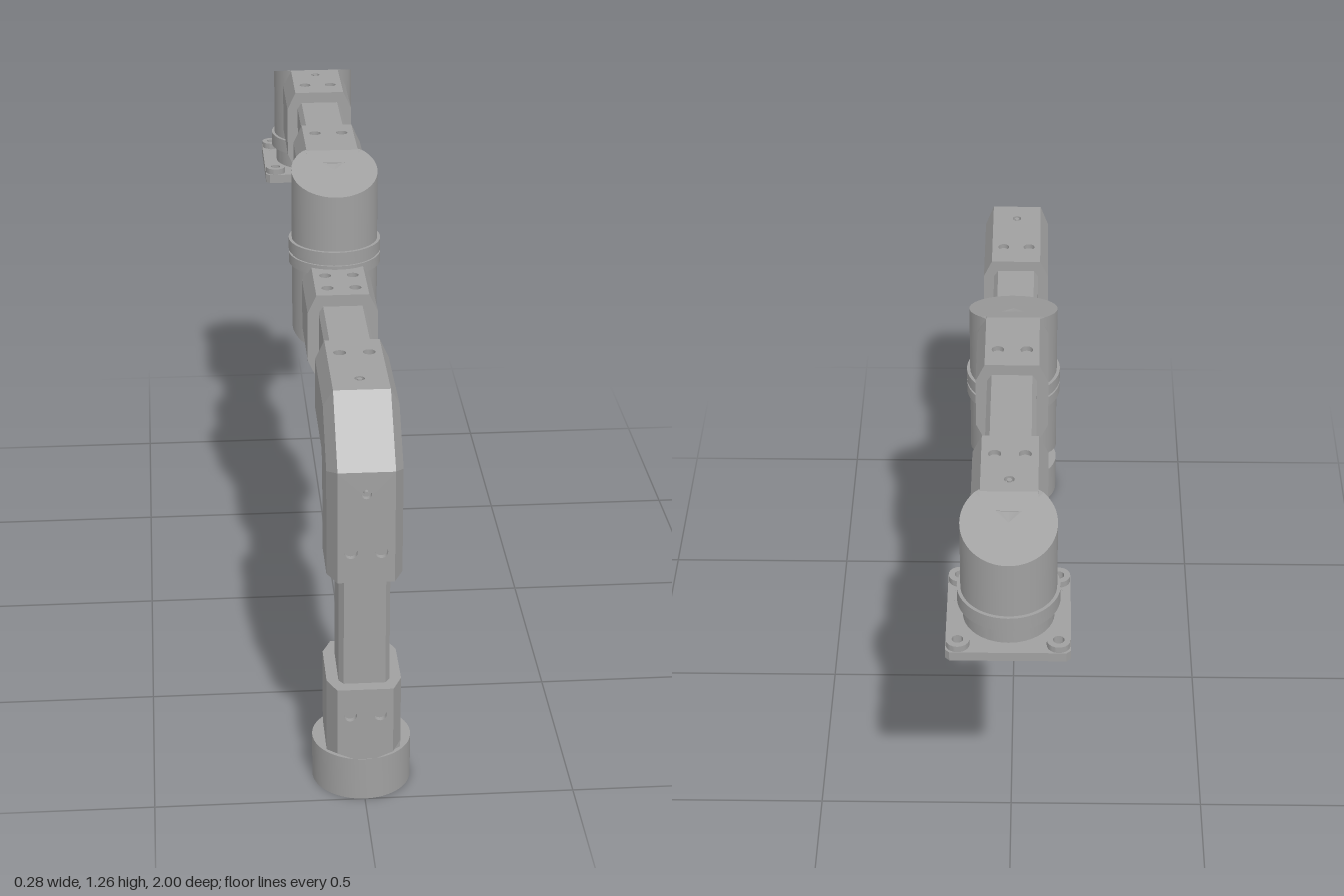
import * as THREE from 'three';
import { toCreasedNormals } from 'three/addons/utils/BufferGeometryUtils.js';

const grey = new THREE.MeshStandardMaterial({ color: 0xa0a0a0, side: THREE.DoubleSide });
grey.name = 'castGrey';

function add(parent, name, geometry, y = 0, z = 0, x = 0) {
  const mesh = new THREE.Mesh(geometry, grey);
  mesh.name = name;
  mesh.position.set(x, y, z);
  parent.add(mesh);
  return mesh;
}

// Chamfered cross-section spanning an outer and an inner point, each [z, y].
function ring(outer, inner, half = 0.088, flat = 0.066, t = 0.21) {
  const at = (x, k) => new THREE.Vector3(x,
    THREE.MathUtils.lerp(outer[1], inner[1], k), THREE.MathUtils.lerp(outer[0], inner[0], k));
  return [at(-flat, 0), at(flat, 0), at(half, t), at(half, 1 - t),
    at(flat, 1), at(-flat, 1), at(-half, 1 - t), at(-half, t)];
}

const pair = (d) => [[-0.035, d, 0.015], [0.035, d, 0.015]];
const centreScrew = (d) => [[0, d, 0.012]];

// Flat face with round screw pockets; a and b are its end edges.
function panel(group, a, b, inside, holes) {
  const start = a[0].clone().add(a[1]).multiplyScalar(0.5);
  const end = b[0].clone().add(b[1]).multiplyScalar(0.5);
  const along = end.clone().sub(start);
  const length = along.length();
  along.normalize();
  const across = new THREE.Vector3(1, 0, 0);
  const normal = across.clone().cross(along);
  if (normal.dot(inside.clone().sub(start)) > 0) {
    across.negate();
    normal.negate();
  }
  const frame = new THREE.Group();
  frame.name = 'screwPanel';
  frame.applyMatrix4(new THREE.Matrix4().makeBasis(across, along, normal).setPosition(start));
  group.add(frame);
  const wa = Math.abs(a[0].x), wb = Math.abs(b[0].x);
  const shape = new THREE.Shape([[-wa, 0], [wa, 0], [wb, length], [-wb, length]]
    .map((p) => new THREE.Vector2(...p)));
  for (const [x, d, r] of holes) {
    shape.holes.push(new THREE.Path().absarc(x, d, r, 0, Math.PI * 2, true));
    const wall = new THREE.CylinderGeometry(r, r, 0.014, 24, 1, true).rotateX(Math.PI / 2);
    wall.scale(-1, 1, 1);
    const n = wall.attributes.normal;
    for (let i = 0; i < n.count; i++) n.setXYZ(i, -n.getX(i), -n.getY(i), 0);
    add(frame, 'pocketWall', wall, d, -0.007, x);
    add(frame, 'screwHead', new THREE.CircleGeometry(r, 24), d, -0.013, x);
    if (r < 0.014) {
      add(frame, 'screwPin', new THREE.CylinderGeometry(0.006, 0.006, 0.012, 16).rotateX(Math.PI / 2), d, -0.007, x);
    }
  }
  add(frame, 'screwFace', new THREE.ShapeGeometry(shape, 12));
}

// Faceted body through a run of rings; holes are keyed by 'segment outer' or 'segment inner'.
function loft(parent, name, rings, holes = {}) {
  const group = new THREE.Group();
  group.name = name;
  parent.add(group);
  const pos = [];
  const middle = (r) => r.reduce((s, p) => s.add(p), new THREE.Vector3()).multiplyScalar(1 / r.length);
  const inside = new THREE.Vector3();
  const tri = (a, b, c) => {
    const n = b.clone().sub(a).cross(c.clone().sub(a));
    const pts = n.dot(a.clone().sub(inside)) < 0 ? [a, c, b] : [a, b, c];
    pts.forEach((p) => pos.push(p.x, p.y, p.z));
  };
  for (let s = 0; s + 1 < rings.length; s++) {
    const a = rings[s], b = rings[s + 1];
    inside.copy(middle(a)).add(middle(b)).multiplyScalar(0.5);
    for (let i = 0; i < 8; i++) {
      const j = (i + 1) % 8;
      const list = holes[s + (i === 0 ? ' outer' : i === 4 ? ' inner' : '')];
      if (list) panel(group, [a[i], a[j]], [b[i], b[j]], inside, list);
      else {
        tri(a[i], a[j], b[j]);
        tri(a[i], b[j], b[i]);
      }
    }
    for (const cap of [s === 0 && a, s === rings.length - 2 && b]) {
      if (cap) for (let i = 1; i < 7; i++) tri(cap[0], cap[i], cap[i + 1]);
    }
  }
  const geometry = new THREE.BufferGeometry();
  geometry.setAttribute('position', new THREE.Float32BufferAttribute(pos, 3));
  geometry.computeVertexNormals();
  add(group, name + 'Shell', geometry);
}

const lathe = (points) => toCreasedNormals(
  new THREE.LatheGeometry(points.map((p) => new THREE.Vector2(...p)), 64), 0.5);

// Round joint housing whose closed end is cut by a sloping plane.
const SLOPE = 0.32, FOLD = 0.08;
function housing(parent, name, zc, yOpen, yEnd, dir) {
  const s = Math.sign(yEnd - yOpen);
  const cut = (z) => yEnd - s * SLOPE * Math.max(0, dir * z + FOLD);
  const side = new THREE.CylinderGeometry(0.11, 0.11, 1, 64, 1, true);
  const p = side.attributes.position;
  for (let i = 0; i < p.count; i++) p.setY(i, p.getY(i) * s > 0 ? cut(p.getZ(i)) : yOpen);
  if (s < 0) {
    const ix = side.index.array;
    for (let i = 0; i < ix.length; i += 3) [ix[i], ix[i + 1]] = [ix[i + 1], ix[i]];
  }
  add(parent, name + 'Wall', side, 0, zc);
  const cap = new THREE.CircleGeometry(0.11, 64).rotateX(-s * Math.PI / 2).toNonIndexed();
  const c = cap.attributes.position;
  for (let i = 0; i < c.count; i++) c.setY(i, cut(c.getZ(i)));
  cap.computeVertexNormals();
  add(parent, name + 'Cap', cap, 0, zc);
}

function extrude(shape, depth) {
  return new THREE.ExtrudeGeometry(shape, { depth, bevelEnabled: false, curveSegments: 16 })
    .rotateX(-Math.PI / 2);
}

function polygon(points) {
  return new THREE.Shape(points.map((p) => new THREE.Vector2(...p)));
}

export function createModel() {
  const model = new THREE.Group();
  model.name = 'jointedArm';

  // Hollow round foot
  add(model, 'foot', lathe([[0, 0.09], [0.065, 0.09], [0.065, 0.02], [0.072, 0.02], [0.072, 0.008],
    [0.092, 0.008], [0.092, 0], [0.118, 0], [0.118, 0.11], [0, 0.11]]), 0, 0.882);

  // Upright: sleeve, post and bent elbow
  const upright = (y, flat) => ring([0.998, y], [0.767, y], 0.088, flat);
  loft(model, 'footSleeve', [upright(0.11, 0.025), upright(0.128), upright(0.3)],
    { '1 outer': pair(0.102), '1 inner': [...pair(0.102), ...pair(0.03)] });
  const tube = (outer, inner) => ring(outer, inner, 0.06, 0.049, 0.1);
  loft(model, 'post', [tube([0.968, 0.29], [0.8, 0.29]), tube([0.968, 0.6], [0.8, 0.6])]);
  const inner = [0.767, 0.784];
  loft(model, 'elbow', [upright(0.585), ring([0.998, 0.865], inner),
    ring([0.858, 1.006], inner), ring([0.57, 1.006], [0.57, 0.784])], {
    '0 outer': [...pair(0.077), ...centreScrew(0.225)],
    '0 inner': [...pair(0.06), ...pair(0.14)],
    '2 outer': [...pair(0.213), ...centreScrew(0.063)],
    '2 inner': [...pair(0.055), ...pair(0.14)],
  });

  // Lower arm running into the middle joint
  loft(model, 'lowerArm', [tube([0.58, 0.976], [0.58, 0.812]), tube([0.28, 0.976], [0.28, 0.812])]);
  const low = (z) => ring([z, 1.006], [z, 0.784 + SLOPE * Math.max(0, FOLD - z)]);
  loft(model, 'lowerArmSleeve', [low(0.288), low(FOLD), low(0.03)],
    { '0 outer': [...pair(0.048), ...pair(0.132)], '0 inner': pair(0.065) });
  housing(model, 'lowerJoint', 0, 1.0, 0.784, -1);

  // Middle joint collar with a seam
  add(model, 'jointCollar', lathe([[0, 0.988], [0.118, 0.988], [0.118, 1.015], [0.113, 1.015],
    [0.113, 1.021], [0.118, 1.021], [0.118, 1.052], [0, 1.052]]));

  // Upper arm from the middle joint to the wrist
  housing(model, 'upperJoint', 0, 1.04, 1.258, 1);
  const high = (z) => ring([z, 1.258 - SLOPE * Math.max(0, z + FOLD)], [z, 1.034]);
  loft(model, 'upperArmSleeve', [high(-0.286), high(-FOLD), high(-0.03)],
    { '0 outer': pair(0.066), '0 inner': [...pair(0.048), ...pair(0.132)] });
  loft(model, 'upperArm', [tube([-0.27, 1.229], [-0.27, 1.065]), tube([-0.59, 1.229], [-0.59, 1.065])]);
  const WRIST = -0.86;
  const end = (z) => ring([z, 1.258 - SLOPE * Math.max(0, WRIST + FOLD - z)], [z, 1.034]);
  loft(model, 'wristSleeve', [end(-0.57), end(WRIST + FOLD), end(-0.83)],
    { '0 outer': [...pair(0.07), ...centreScrew(0.165)], '0 inner': [...pair(0.05), ...pair(0.13)] });
  housing(model, 'wrist', WRIST, 1.04, 1.258, -1);

  // Wrist collar, hollow underneath
  add(model, 'wristCollar', lathe([[0, 0.99], [0.055, 0.99], [0.055, 0.955], [0.07, 0.955],
    [0.07, 0.968], [0.09, 0.968], [0.105, 0.968], [0.105, 1.015], [0.118, 1.015],
    [0.118, 1.052], [0, 1.052]]), 0, WRIST);

  // Square mounting flange: rim, web and corner bosses with bolt holes
  const flange = new THREE.Group();
  flange.name = 'mountingFlange';
  flange.position.set(0, 0.946, -0.858);
  model.add(flange);
  const h = 0.142, e = 0.132;
  const outline = [[-e, -h], [e, -h], [h, -e], [h, e], [e, h], [-e, h], [-h, e], [-h, -e]];
  const rim = polygon(outline);
  const a = 0.125, b = 0.075;
  rim.holes.push(polygon([[-b, -a], [-a, -b], [-a, b], [-b, a], [b, a], [a, b], [a, -b], [b, -a]]));
  const web = polygon(outline.map(([x, y]) => [x * 0.99, y * 0.99]));
  web.holes.push(new THREE.Path().absarc(0, 0, 0.088, 0, Math.PI * 2, true));
  for (const sx of [-1, 1]) {
    for (const sz of [-1, 1]) {
      const x = sx * 0.114, z = sz * 0.114;
      for (const s of [rim, web]) s.holes.push(new THREE.Path().absarc(x, z, 0.013, 0, Math.PI * 2, true));
      const boss = new THREE.Shape().absarc(0, 0, 0.027, 0, Math.PI * 2, false);
      boss.holes.push(new THREE.Path().absarc(0, 0, 0.013, 0, Math.PI * 2, true));
      add(flange, 'cornerBoss', toCreasedNormals(extrude(boss, 0.016), 0.6), 0.024, z, x);
    }
  }
  add(flange, 'flangeRim', extrude(rim, 0.024));
  add(flange, 'flangeWeb', extrude(web, 0.01), 0.0135);
  return model;
}
